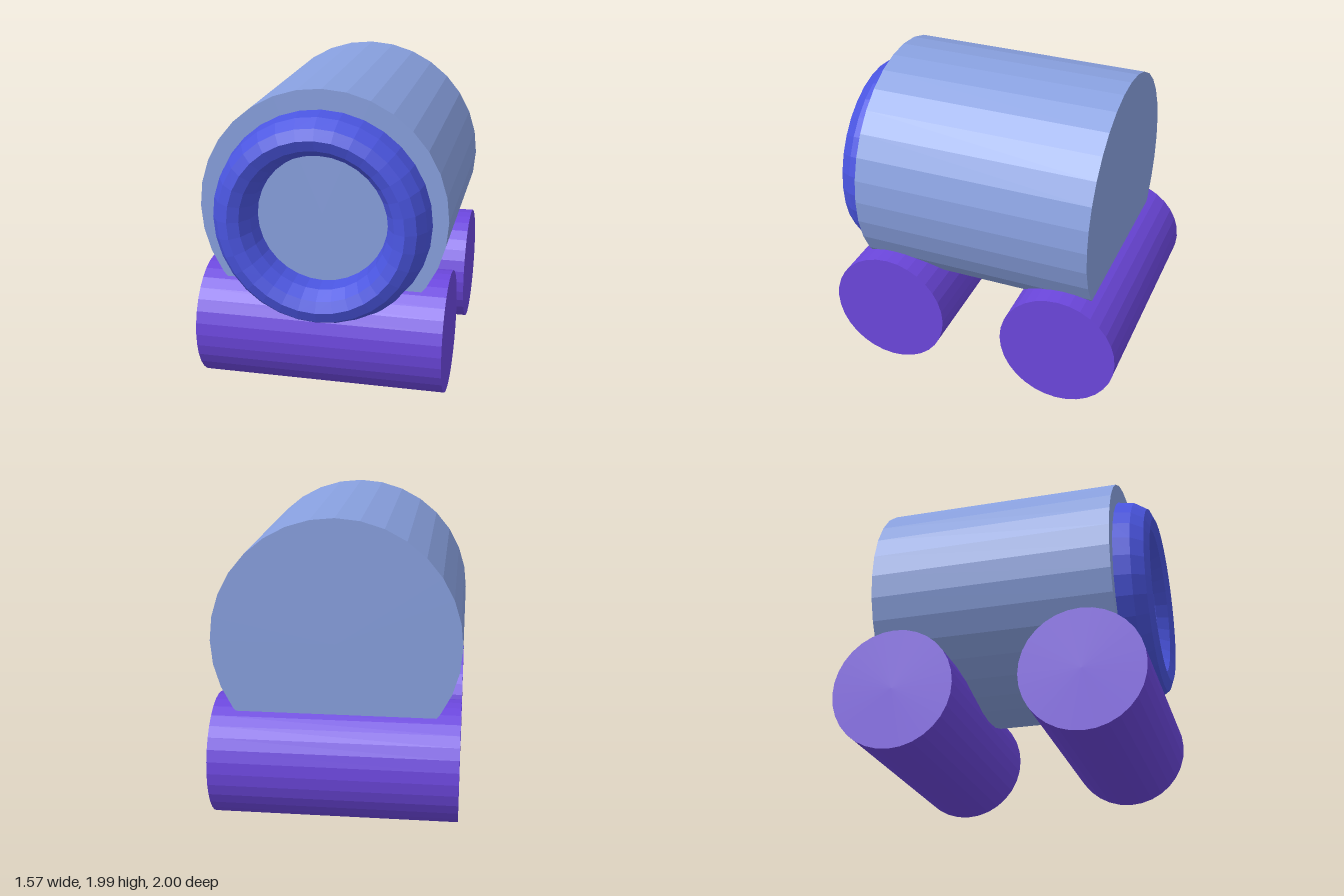
import * as THREE from 'three';

function material(name, color) {
  const m = new THREE.MeshStandardMaterial({ color, flatShading: true });
  m.name = name;
  return m;
}

export function createModel() {
  const group = new THREE.Group();
  const bodyBlue = material('greyBlue', 0x88a0df);
  const ringBlue = material('royalBlue', 0x4a55e0);
  const purple = material('purple', 0x6c47dd);

  function add(name, geometry, mat, x, y, z) {
    const mesh = new THREE.Mesh(geometry, mat);
    mesh.name = name;
    mesh.position.set(x, y, z);
    group.add(mesh);
    return mesh;
  }

  // Barrel lying along z
  const barrel = new THREE.CylinderGeometry(0.785, 0.785, 1.57, 32).rotateX(Math.PI / 2);
  add('barrel', barrel, bodyBlue, 0, 1.2, 0);

  // Ring on the front face, deeper than it is wide and half sunk into the barrel
  const ring = new THREE.TorusGeometry(0.55, 0.137, 12, 32).scale(1, 1, 1.57);
  add('frontRing', ring, ringBlue, 0, 1.172, 0.785);

  // Full-width rollers lying along x
  const roller = new THREE.CylinderGeometry(0.393, 0.393, 1.57, 32).rotateZ(Math.PI / 2);
  add('frontRoller', roller, purple, 0, 0.393, 0.59);
  add('backRoller', roller, purple, 0, 0.393, -0.607);

  return group;
}
